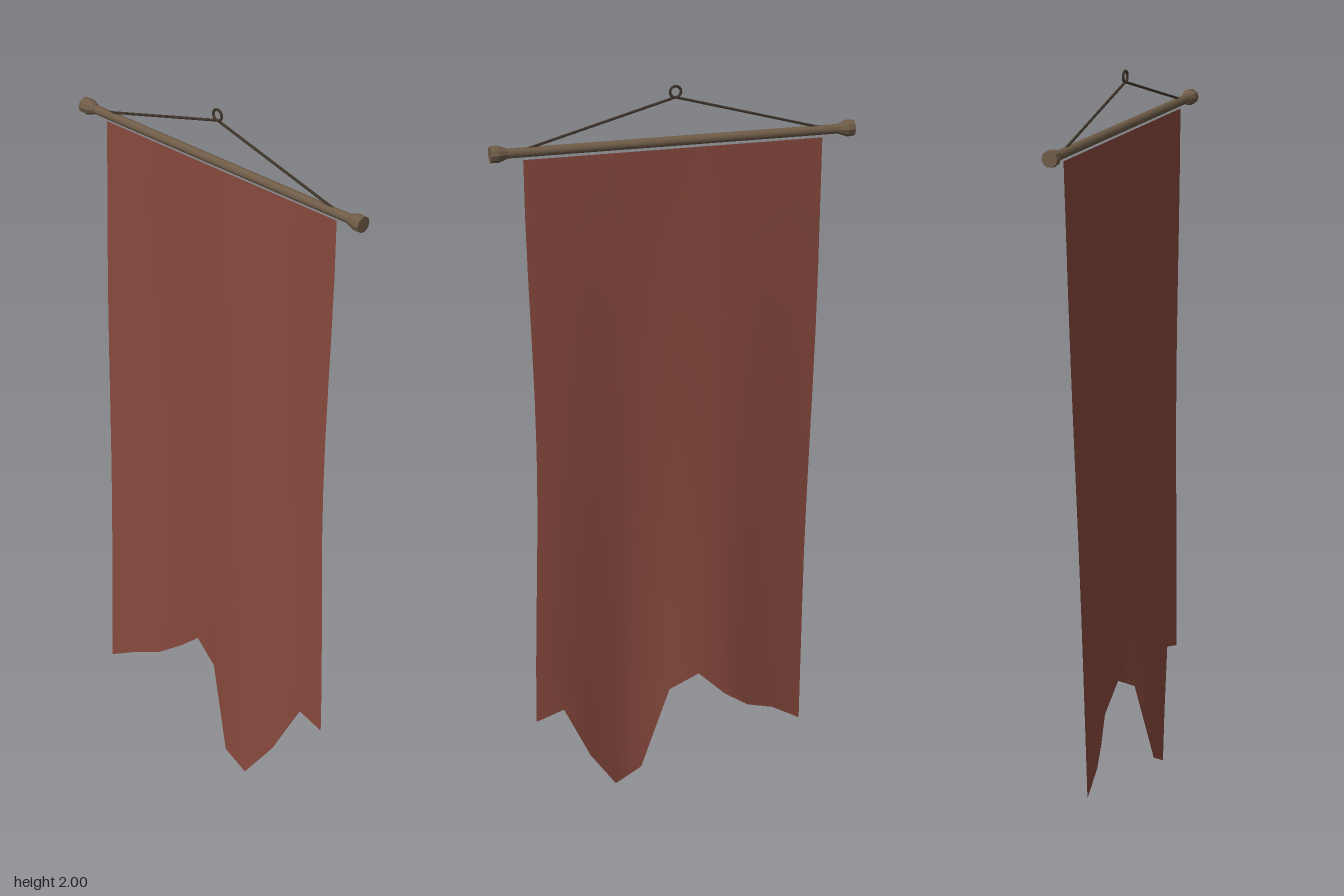
import * as THREE from 'three';

export function createModel() {
  const group = new THREE.Group();
  const mat = (name, color, side = THREE.FrontSide) => {
    const m = new THREE.MeshStandardMaterial({ color, side });
    m.name = name;
    return m;
  };
  const cloth = mat('red cloth', 0x87493d, THREE.DoubleSide);
  const wood = mat('brown wood', 0x6f5c48);
  const cord = mat('dark cord', 0x40352a);
  const Z = -0.015, ROD_Y = 1.855, TOP = 1.835;

  const add = (name, geometry, material, x = 0, y = 0, z = Z) => {
    const mesh = new THREE.Mesh(geometry, material);
    mesh.name = name;
    mesh.position.set(x, y, z);
    group.add(mesh);
    return mesh;
  };

  // Hanging cloth: each column runs from the straight top to a torn, wavy hem [x, y, z]
  const hem = [
    [-0.385, 0.13, 0.032], [-0.3, 0.18, 0.026], [-0.22, 0.21, 0.004], [-0.145, 0.265, -0.017],
    [-0.07, 0.335, -0.008], [0.01, 0.29, 0.01], [0.085, 0.045, 0.036], [0.16, 0.004, 0.035],
    [0.24, 0.12, 0.008], [0.32, 0.285, -0.015], [0.398, 0.26, -0.016],
  ];
  const cols = hem.length - 1, rows = 10;
  const banner = new THREE.PlaneGeometry(0.8, 1, cols, rows);
  const pos = banner.attributes.position;
  for (let r = 0; r <= rows; r++) {
    const t = r / rows;
    hem.forEach(([hx, hy, hz], c) => {
      const y = TOP + (hy - TOP) * t;
      const drop = (TOP - y) / TOP;
      const x0 = -0.4 + 0.08 * c;
      // the right edge pulls inwards around two thirds of the way down
      const pull = 0.017 * (c / cols) * Math.sin(Math.PI * t) ** 2;
      const x = x0 + (hx - x0) * THREE.MathUtils.smoothstep(t, 0.2, 0.75) - pull;
      pos.setXYZ(r * (cols + 1) + c, x, y, Z + (hz - Z) * Math.min(1, drop * 1.08));
    });
  }
  banner.computeVertexNormals();
  add('cloth', banner, cloth, 0, 0, 0);

  // Rod with flared end caps
  add('rod', new THREE.CylinderGeometry(0.0125, 0.0125, 0.9, 10).rotateZ(Math.PI / 2), wood, 0, ROD_Y);
  for (const s of [-1, 1]) {
    const profile = [[0, 0.485], [0.021, 0.485], [0.022, 0.466], [0.0135, 0.442], [0, 0.442]]
      .reverse().map(([r, h]) => new THREE.Vector2(r, h));
    const cap = new THREE.LatheGeometry(profile, 10).toNonIndexed();
    cap.computeVertexNormals();
    add(s > 0 ? 'leftEndCap' : 'rightEndCap', cap.rotateZ(-s * Math.PI / 2), wood, 0, ROD_Y);

    // Cord from the rod up to the ring
    const path = new THREE.LineCurve3(new THREE.Vector3(s * 0.395, 1.862, 0), new THREE.Vector3(0, 1.968, 0));
    add(s > 0 ? 'leftCord' : 'rightCord', new THREE.TubeGeometry(path, 1, 0.0035, 6), cord);
  }

  // Hanging ring
  add('ring', new THREE.TorusGeometry(0.0145, 0.0035, 6, 16), cord, 0, 1.982);
  return group;
}
